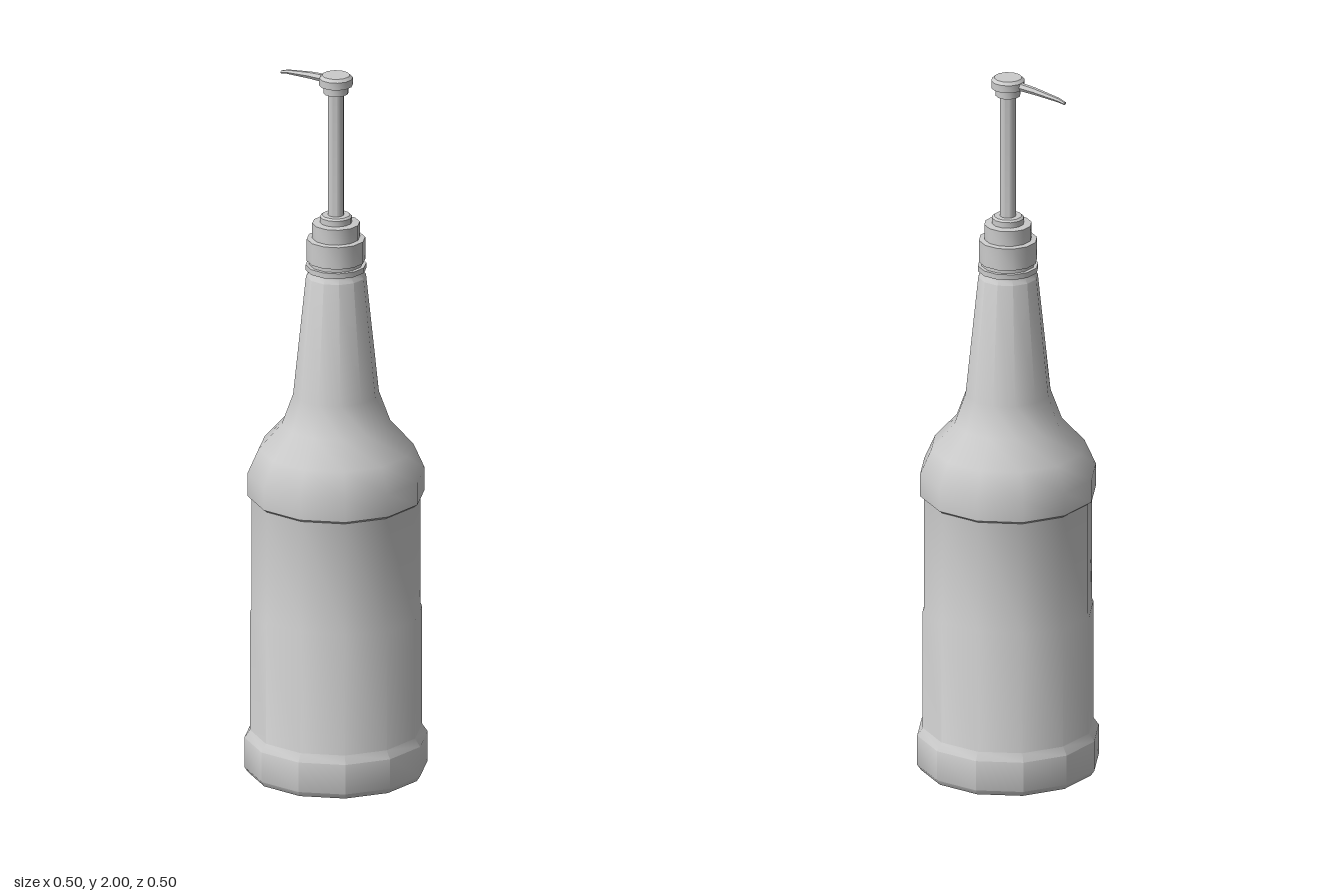
import * as THREE from 'three';
import { toCreasedNormals } from 'three/addons/utils/BufferGeometryUtils.js';

const SIDES = 12;
const material = new THREE.MeshStandardMaterial({ color: 0xcccccc });

function addMesh(group, name, geometry) {
  const mesh = new THREE.Mesh(toCreasedNormals(geometry, 0.7), material);
  mesh.name = name;
  group.add(mesh);
  return mesh;
}

// Twelve-sided turned part from [radius, height] pairs, bottom to top
function turned(group, name, profile) {
  const points = profile.map(([r, y]) => new THREE.Vector2(r, y));
  return addMesh(group, name, new THREE.LatheGeometry(points, SIDES));
}

// Tapered six-sided spout running along +x, sloping down to the tip
function spoutGeometry() {
  // [distance, centre height, half height, half width]
  const sections = [
    [0.03, 1.982, 0.012, 0.012],
    [0.09, 1.979, 0.010, 0.010],
    [0.17, 1.971, 0.006, 0.007],
    [0.19, 1.966, 0.004, 0.006],
  ];
  const geometry = new THREE.CylinderGeometry(1, 1, 3, 6, 3);
  const p = geometry.attributes.position;
  for (let i = 0; i < p.count; i++) {
    const [d, y, h, w] = sections[Math.round(1.5 - p.getY(i))];
    p.setXYZ(i, d, y + p.getX(i) * h, p.getZ(i) * w);
  }
  return geometry;
}

export function createModel() {
  const model = new THREE.Group();
  model.name = 'pumpBottle';

  // Bottle: foot, straight body, shoulder and long neck
  turned(model, 'bottle', [
    [0, 0], [0.24, 0], [0.25, 0.015], [0.25, 0.1], [0.235, 0.122],
    [0.235, 0.46], [0.231, 0.47], [0.231, 0.788], [0.242, 0.796],
    [0.242, 0.86], [0.211, 0.93], [0.148, 1.0], [0.117, 1.085],
    [0.082, 1.423], [0.073, 1.435], [0.073, 1.47], [0, 1.47],
  ]);

  // Neck ring just below the cap
  turned(model, 'neckRing', [
    [0.07, 1.441], [0.083, 1.441], [0.083, 1.456], [0.07, 1.456],
  ]);

  // Stepped screw cap
  turned(model, 'cap', [
    [0, 1.467], [0.08, 1.467], [0.08, 1.53], [0.065, 1.532],
    [0.065, 1.575], [0.044, 1.577], [0.044, 1.593], [0.038, 1.598], [0, 1.598],
  ]);

  // Pump stem
  turned(model, 'pumpStem', [[0.022, 1.59], [0.022, 1.955]]);

  // Pump head
  turned(model, 'pumpHead', [
    [0, 1.948], [0.034, 1.948], [0.034, 1.969], [0.046, 1.971],
    [0.046, 1.992], [0.038, 2], [0, 2],
  ]);

  // Spout, turned to the model's right and slightly forward
  const spout = addMesh(model, 'spout', spoutGeometry());
  spout.rotation.y = Math.PI + 0.26;

  return model;
}
